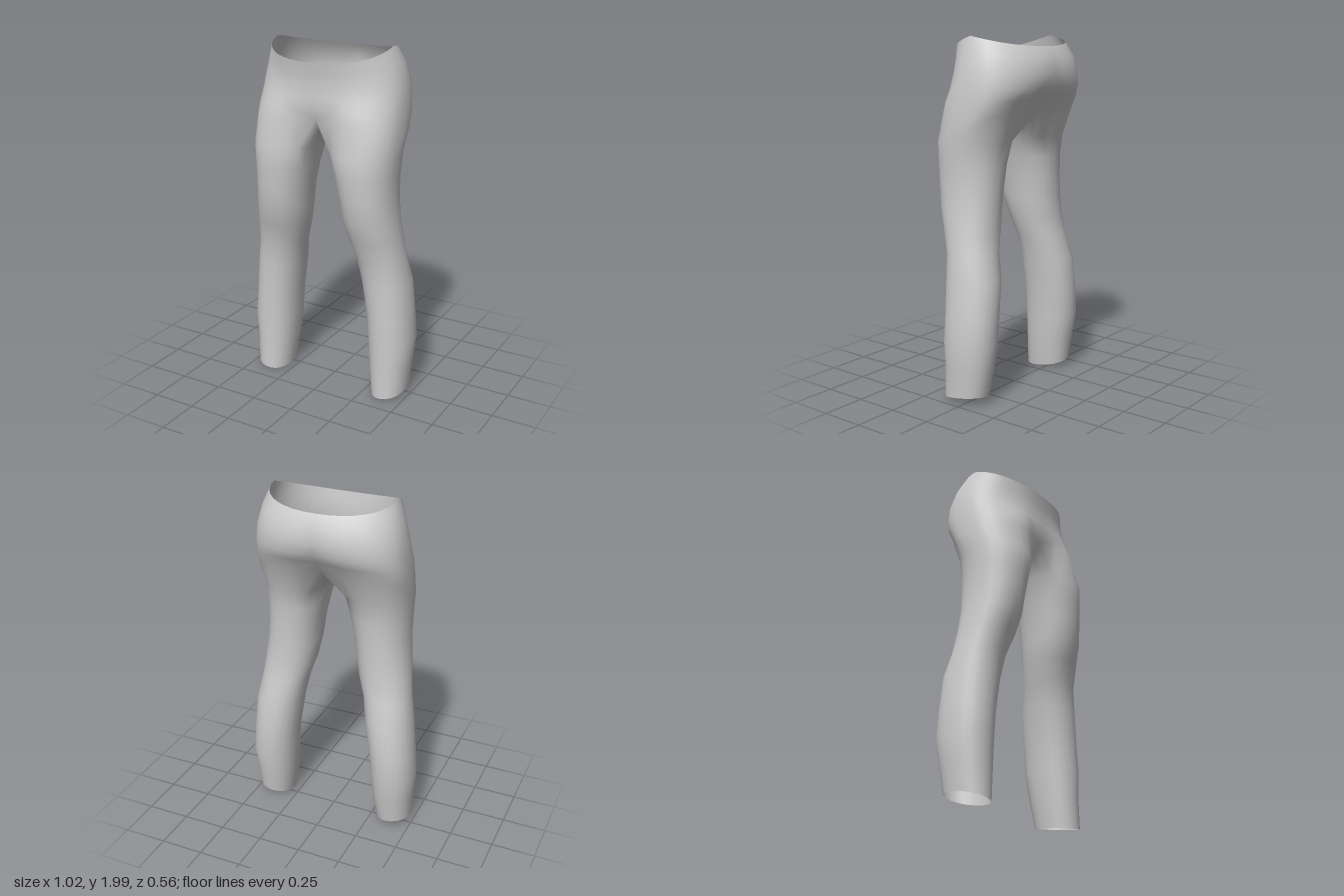
import * as THREE from 'three';
import { mergeVertices } from 'three/addons/utils/BufferGeometryUtils.js';

const OUTER = 18; // segments from the front centre round the hip to the back centre
const INNER = 6;  // segments along the crotch and down the inner leg

// Hip rows: y front, y side, y back, half width, z front, z back, front dent, back dent, squareness
const HIPS = [
  [1.915, 2.0, 1.945, 0.355, 0.25, -0.225, 0, 0, 0.9],
  [1.85, 1.92, 1.88, 0.385, 0.24, -0.265, 0, 0, 0.88],
  [1.79, 1.82, 1.8, 0.41, 0.237, -0.28, 0, 0.02, 0.85],
  [1.73, 1.72, 1.73, 0.422, 0.245, -0.272, 0.02, 0.04, 0.8],
  [1.67, 1.62, 1.68, 0.43, 0.265, -0.245, 0.11, 0.08, 0.75],
  [1.61, 1.52, 1.62, 0.43, 0.28, -0.205, 0.28, 0.1, 0.73],
];

// Leg rows: y, inner x, outer x, z front, z back
const LEGS = [
  [1.44, 0.048, 0.428, 0.285, -0.12],
  [1.32, 0.08, 0.42, 0.28, -0.1],
  [1.2, 0.108, 0.417, 0.27, -0.094],
  [1.08, 0.122, 0.425, 0.255, -0.09],
  [0.96, 0.143, 0.44, 0.217, -0.092],
  [0.84, 0.18, 0.455, 0.178, -0.103],
  [0.7, 0.207, 0.48, 0.166, -0.142],
  [0.5, 0.238, 0.497, 0.16, -0.15],
  [0.35, 0.25, 0.51, 0.16, -0.15],
  [0.2, 0.262, 0.496, 0.156, -0.125],
  [0.035, 0.285, 0.486, 0.16, -0.1],
];

const power = (v, e) => Math.sign(v) * Math.abs(v) ** e;

// Half outline of the hips, front centre to back centre
function hipArc([yf, ys, yb, rx, zf, zb, dentF, dentB, e]) {
  const points = [];
  for (let j = 0; j <= OUTER; j++) {
    const t = (j / OUTER) * Math.PI, c = Math.cos(t);
    const x = j === 0 || j === OUTER ? 0 : rx * power(Math.sin(t), e);
    const dent = (c > 0 ? dentF : dentB) * Math.exp(-((x / 0.13) ** 2));
    const z = (zf + zb) / 2 + ((zf - zb) / 2) * power(c, e) * (1 - dent);
    const y = ys + ((c > 0 ? yf : yb) - ys) * Math.abs(c);
    points.push(new THREE.Vector3(x, y, z));
  }
  return points;
}

// Crotch seam, back centre to front centre, end points left out
function crotchSeam(back, front) {
  const points = [];
  for (let k = 1; k < INNER; k++) {
    const u = k / INNER, p = new THREE.Vector3().lerpVectors(back, front, u);
    p.y = 1.522 + (p.y - 1.522) * (2 * u - 1) ** 2;
    points.push(p);
  }
  return points;
}

// Closed leg ring, starting at the inner front corner
function legRing([y, xi, xo, zf, zb], isHem) {
  const points = [], n = OUTER + INNER;
  for (let j = 0; j < n; j++) {
    const a = -Math.PI / 4 + (j / n) * Math.PI * 2;
    const sx = power(Math.sin(a), 0.92), sz = power(Math.cos(a), 0.92);
    const tilt = isHem ? 0.014 * sx - 0.02 * sz : 0;
    points.push(new THREE.Vector3(
      (xi + xo) / 2 + ((xo - xi) / 2) * sx, y + tilt, (zf + zb) / 2 + ((zf - zb) / 2) * sz));
  }
  return points;
}

function trouserGeometry() {
  const out = [];
  for (const side of [1, -1]) {
    const put = (p) => {
      // small pinched fold beside the right front pocket
      const fold = side < 0 && p.z > 0
        ? 0.022 * Math.exp(-((p.x - 0.25) ** 2 + (p.y - 1.83) ** 2) / 0.0012) : 0;
      out.push(side * p.x, p.y, p.z - fold);
    };
    const tri = (a, b, c) => (side > 0 ? [a, b, c] : [a, c, b]).forEach(put);
    const strip = (up, low, closed) => {
      const n = up.length;
      for (let j = 0; j < (closed ? n : n - 1); j++) {
        const k = (j + 1) % n;
        tri(up[j], low[j], up[k]);
        tri(up[k], low[j], low[k]);
      }
    };
    const arcs = HIPS.map(hipArc);
    for (let i = 0; i + 1 < arcs.length; i++) strip(arcs[i], arcs[i + 1], false);
    // the last hip arc and the crotch seam close into the top of the leg
    const last = arcs[arcs.length - 1];
    let ring = [...last, ...crotchSeam(last[OUTER], last[0])];
    LEGS.forEach((row, i) => {
      const next = legRing(row, i === LEGS.length - 1);
      strip(ring, next, true);
      ring = next;
    });
  }
  const soup = new THREE.BufferGeometry();
  soup.setAttribute('position', new THREE.Float32BufferAttribute(out, 3));
  const geometry = mergeVertices(soup, 1e-4);
  geometry.computeVertexNormals();
  return geometry;
}

export function createModel() {
  const group = new THREE.Group();
  group.name = 'trousers';
  const cloth = new THREE.MeshStandardMaterial({ color: 0xcccccc, side: THREE.DoubleSide });
  cloth.name = 'light grey cloth';
  const mesh = new THREE.Mesh(trouserGeometry(), cloth);
  mesh.name = 'trouserShell';
  group.add(mesh);
  return group;
}
